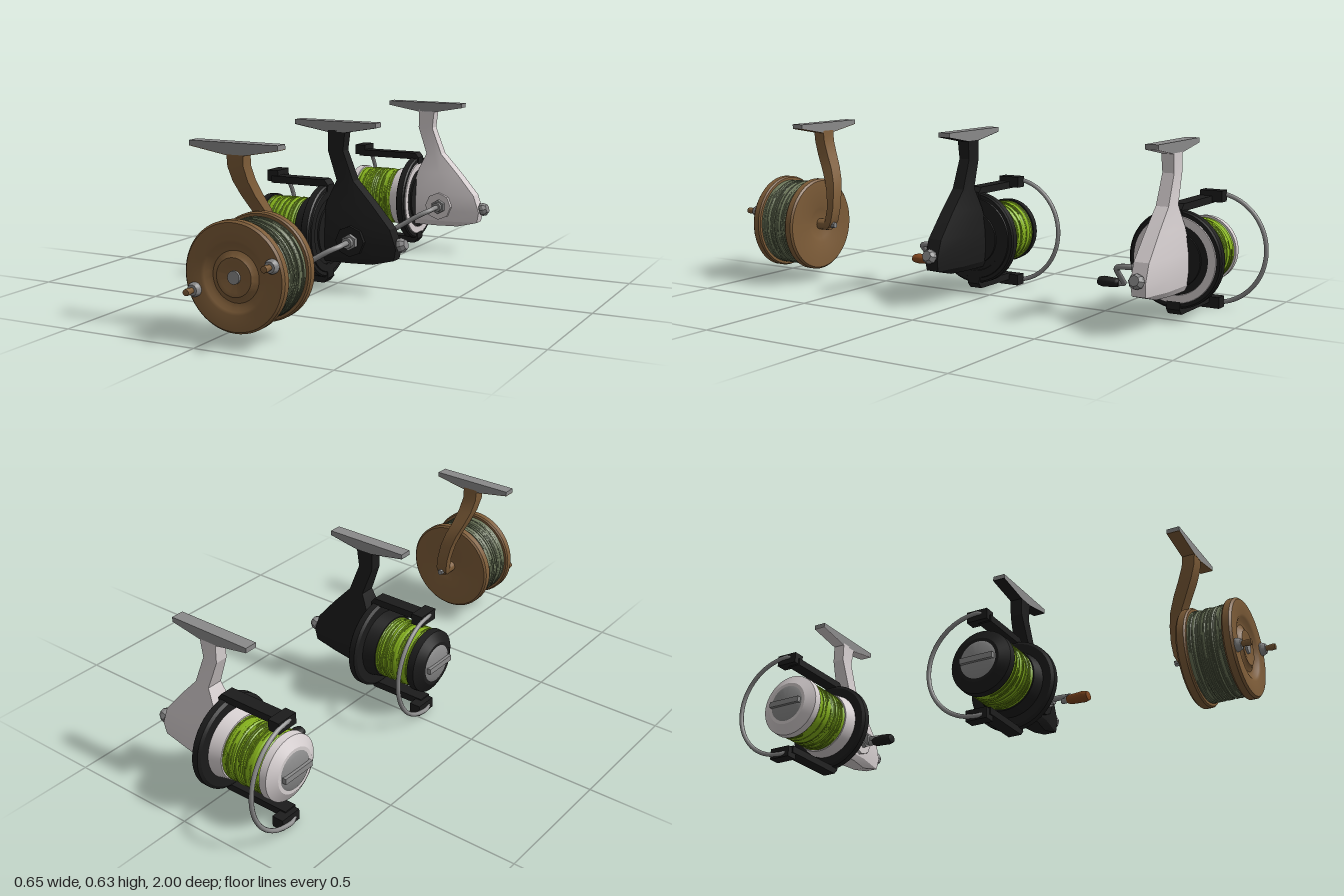
import * as THREE from 'three';
import { toCreasedNormals } from 'three/addons/utils/BufferGeometryUtils.js';

const mat = (color) => new THREE.MeshStandardMaterial({ color, side: THREE.DoubleSide });
const M = {
  metal: mat(0x8a8a8a), black: mat(0x1c1c1c), white: mat(0xd6cfd0), wood: mat(0x7d5c38),
  grip: mat(0x82481f), green: mat(0x86b31c), olive: mat(0x6c7659),
};
const V = (x, y, z) => new THREE.Vector3(x, y, z);
const AXIS_Y = 0.22; // height of the spinning reel axis

function add(parent, name, geo, material, pos = [0, 0, 0]) {
  const mesh = new THREE.Mesh(geo, material);
  mesh.name = name;
  mesh.position.set(...pos);
  parent.add(mesh);
  return mesh;
}

// turned part from [radius, distance along axis] pairs, axis 'x' or 'z'
function turned(profile, axis, sides = 48) {
  const g = new THREE.LatheGeometry(profile.map((p) => new THREE.Vector2(p[0], p[1])), sides);
  if (axis === 'x') g.rotateZ(-Math.PI / 2); else g.rotateX(Math.PI / 2);
  return toCreasedNormals(g, 0.5);
}
const disc = (r, a, b, axis, sides) => turned([[0, a], [r, a], [r, b], [0, b]], axis, sides);
const box = (w, h, d) => new THREE.BoxGeometry(w, h, d);

// side profile extruded symmetrically in z
function slab(points, depth) {
  const shape = new THREE.Shape(points.map((p) => new THREE.Vector2(p[0], p[1])));
  return new THREE.ExtrudeGeometry(shape, { depth, bevelEnabled: false }).translate(0, 0, -depth / 2);
}
const tube = (pts, r, n = 40) => new THREE.TubeGeometry(new THREE.CatmullRomCurve3(pts), n, r, 10);

// skin over rings listed from top to bottom, each counterclockwise from above
function loft(rings, crease) {
  const n = rings[0].length, pos = rings.flat(2), idx = [], last = (rings.length - 1) * n;
  for (let i = 0; i < rings.length - 1; i++) {
    for (let j = 0; j < n; j++) {
      const a = i * n + j, b = i * n + (j + 1) % n;
      idx.push(a + n, b + n, b, a + n, b, a);
    }
  }
  for (let j = 1; j < n - 1; j++) idx.push(0, j, j + 1, last, last + j + 1, last + j);
  const g = new THREE.BufferGeometry();
  g.setAttribute('position', new THREE.Float32BufferAttribute(pos, 3));
  g.setIndex(idx);
  return toCreasedNormals(g, crease);
}

function seeded(seed) {
  return () => (seed = (seed * 16807) % 2147483647) / 2147483647;
}

// wound line: wavy turned core plus loose strands
function woundLine(parent, r, a, b, axis, material, seed) {
  const rnd = seeded(seed), group = new THREE.Group(), profile = [[r - 0.03, a]];
  group.name = 'woundLine';
  for (let i = 0; i <= 40; i++) profile.push([r - 0.004 * rnd(), a + (b - a) * i / 40]);
  profile.push([r - 0.03, b]);
  add(group, 'lineCore', turned(profile, axis), material);
  for (let i = 0; i < 45; i++) {
    const g = new THREE.TorusGeometry(r - 0.001, 0.0022, 5, 24, 0.5 + rnd() * 1.8);
    g.rotateZ(rnd() * Math.PI * 2).translate(0, 0, a + 0.004 + (b - a - 0.008) * rnd());
    if (axis === 'x') g.rotateY(Math.PI / 2);
    add(group, 'lineStrand', g, material);
  }
  parent.add(group);
  return group;
}

// rod foot: tapered plate with a coloured underside
function foot(parent, underside) {
  const low = [[-0.133, 0.622], [0.005, 0.599], [0.075, 0.599], [0.2, 0.622]];
  add(parent, 'rodFoot', slab([...low, [0.2, 0.638], [-0.133, 0.638]], 0.048), M.metal);
  const strip = [...low.map((p) => [p[0], p[1] - 0.002]), ...low.slice().reverse()];
  add(parent, 'footUnderside', slab(strip, 0.048), underside);
}

function spinningReel(name, z0, o) {
  const reel = new THREE.Group();
  reel.name = name;
  reel.position.z = z0;
  foot(reel, o.body);

  // stem and gear housing: y, front x, rear x, front half width, rear half width
  const rows = [
    [0.605, 0.005, 0.076, 0.024, 0.024], [0.53, 0.005, 0.067, 0.024, 0.022], [0.42, 0.045, 0.11, 0.03, 0.024],
    [0.34, 0.01, 0.185, 0.042, 0.026], [0.25, -0.01, 0.262, 0.055, 0.028],
    [0.18, -0.01, 0.287, 0.057, 0.028], [0.135, -0.01, 0.278, 0.052, 0.025], [0.112, -0.01, 0.19, 0.04, 0.022],
  ];
  add(reel, 'housing', loft(rows.map(([y, x0, x1, f, r]) => {
    const xm = x0 + (x1 - x0) * 0.55, m = Math.max(f * 0.94, r);
    return [[x1, y, r], [x1, y, -r], [xm, y, -m], [x0, y, -f], [x0, y, f], [xm, y, m]];
  }), 0.3), o.body);

  // rear knob
  const knob = new THREE.Group();
  knob.name = 'rearKnob';
  knob.position.set(0.275, 0.185, 0);
  knob.rotation.z = 0.28;
  add(knob, 'knobNeck', disc(0.017, -0.01, 0.02, 'x', 16), M.metal);
  add(knob, 'knobHead', turned([[0, 0.014], [0.027, 0.014], [0.027, 0.03], [0.019, 0.043], [0, 0.043]], 'x', 8), M.metal);
  reel.add(knob);

  // rotor with two mirrored arms and the bail
  const rotor = new THREE.Group();
  rotor.name = 'rotor';
  rotor.position.y = AXIS_Y;
  add(rotor, 'rotorDisc', turned([[0, -0.035], [0.165, -0.035], [0.176, -0.028], [0.176, -0.004], [0.17, 0.001], [0, 0.001]], 'x'), M.black);
  add(rotor, 'rotorRing', turned([[0.125, 0], [0.157, 0], [0.155, 0.005], [0.127, 0.005], [0.125, 0]], 'x'), o.trim);
  add(rotor, 'rotorHub', disc(0.1, 0, 0.008, 'x'), M.black);
  const xb = o.bailX, armEnd = xb + 0.02;
  for (const s of [1, -1]) {
    const arm = new THREE.Group();
    arm.name = s > 0 ? 'upperArm' : 'lowerArm';
    add(arm, 'armBar', slab([[armEnd, 0.17], [-0.028, 0.17], [-0.035, 0.12], [0.004, 0.12], [0.006, 0.178],
      [-0.01, 0.197], [armEnd, 0.197]], 0.052), M.black);
    add(arm, 'bailMount', box(0.046, 0.042, 0.085), M.black, [armEnd + 0.002, 0.196, -0.022]);
    if (s < 0) arm.rotation.x = Math.PI;
    if (s < 0) arm.children[1].position.z *= -1;
    rotor.add(arm);
  }
  const bail = [V(xb + 0.01, 0.2, 0)];
  for (let i = 0; i <= 12; i++) {
    const t = Math.PI * (0.5 - i / 12);
    bail.push(V(xb - 0.008 * Math.cos(t) - 0.004 * (i / 12), 0.204 * Math.sin(t), -0.02 - 0.198 * Math.cos(t)));
  }
  bail.push(V(xb + 0.005, -0.2, 0));
  add(rotor, 'bailWire', tube(bail, 0.0085, 60), M.metal);
  reel.add(rotor);

  // spool, line and drag cap
  const spool = new THREE.Group(), f = o.lipX;
  spool.name = 'spool';
  spool.position.y = AXIS_Y;
  add(spool, 'spoolSkirt', turned([[0, -0.085], [0.122, -0.085], [0.132, -0.034], [0, -0.034]], 'x'), o.trim);
  woundLine(spool, 0.118, f + 0.02, -0.083, 'x', M.green, o.seed);
  add(spool, 'spoolLip', turned([[0, f - 0.028], [0.085, f - 0.028], [0.122, f - 0.006], [0.124, f + 0.022], [0, f + 0.022]], 'x'), o.trim);
  const d = f - 0.028;
  add(spool, 'dragCap', turned([[0, d - 0.008], [0.06, d - 0.007], [0.076, d + 0.002], [0.076, d + 0.01]], 'x'), M.metal);
  add(spool, 'dragGrip', box(0.016, 0.022, 0.135), M.metal, [d - 0.011, 0, 0]);
  reel.add(spool);

  // crank handle
  const crank = new THREE.Group();
  crank.name = 'crank';
  add(crank, 'gearCover', disc(0.058, 0.03, 0.064, 'z', 8), o.body, [0.115, 0.2, 0]);
  add(crank, 'crankNut', disc(0.03, 0.06, 0.082, 'z', 6), M.metal, [0.12, 0.2, 0]);
  add(crank, 'crankCollar', disc(0.02, 0.08, 0.098, 'z', 16), M.metal, [0.12, 0.2, 0]);
  add(crank, 'crankArm', tube([V(0.12, 0.2, 0.08), V(0.12, 0.2, 0.12), V(0.116, 0.196, 0.155), V(0.09, 0.183, 0.18),
    V(0, 0.128, 0.205), V(-0.04, 0.105, 0.217), V(-0.053, 0.1, 0.235), V(-0.053, 0.1, 0.26)], 0.0105), M.metal);
  const grip = turned([[0, 0.24], [0.016, 0.24], [0.022, 0.25], [0.026, 0.305], [0.021, 0.322], [0, 0.325]], 'z', 20);
  add(crank, 'crankGrip', grip.scale(1, 0.75, 1), o.grip, [-0.053, 0.1, 0]);
  reel.add(crank);
  return reel;
}

function woodenReel() {
  const reel = new THREE.Group();
  reel.name = 'woodenReel';
  const c = [0.115, 0.232, 0];
  const head = new THREE.Group();
  head.name = 'drum';
  head.position.set(...c);
  // dished front flange, plain back flange, line
  add(head, 'frontFlange', turned([[0, 0.905], [0.178, 0.905], [0.183, 0.911], [0.183, 0.934], [0.176, 0.942], [0.122, 0.942],
    [0.112, 0.938], [0.1, 0.929], [0.085, 0.926], [0.072, 0.932], [0.064, 0.939], [0.05, 0.938], [0.035, 0.934], [0, 0.934]], 'z', 64), M.wood);
  add(head, 'backFlange', turned([[0, 0.745], [0.06, 0.742], [0.075, 0.736], [0.176, 0.736], [0.183, 0.743],
    [0.183, 0.768], [0.178, 0.774], [0, 0.774]], 'z', 64), M.wood);
  woundLine(head, 0.168, 0.774, 0.905, 'z', M.olive, 77);
  add(head, 'axlePin', disc(0.022, 0.92, 0.942, 'z', 24), M.metal);
  // two pegs on opposite sides
  for (const s of [1, -1]) {
    const peg = new THREE.Group();
    peg.name = 'handlePeg';
    peg.position.set(0.143 * s, 0.052 * s, 0);
    add(peg, 'pegWasher', turned([[0, 0.94], [0.024, 0.94], [0.024, 0.95], [0.018, 0.962], [0, 0.962]], 'z', 24), M.metal);
    add(peg, 'pegGrip', turned([[0, 0.96], [0.009, 0.96], [0.012, 0.985], [0.011, 0.997], [0, 1]], 'z', 20), M.wood);
    head.add(peg);
  }
  reel.add(head);

  // curved mounting arm: x, y, z, half width, half depth
  const rows = [
    [0.04, 0.605, 0.78, 0.031, 0.024], [0.04, 0.56, 0.776, 0.03, 0.024], [0.047, 0.51, 0.757, 0.029, 0.025],
    [0.06, 0.46, 0.73, 0.027, 0.025], [0.078, 0.41, 0.703, 0.026, 0.022], [0.093, 0.36, 0.687, 0.025, 0.018],
    [0.105, 0.3, 0.68, 0.024, 0.015], [0.113, 0.25, 0.685, 0.024, 0.015], [0.115, 0.228, 0.695, 0.022, 0.015], [0.115, 0.214, 0.71, 0.015, 0.012],
  ];
  add(reel, 'mountArm', loft(rows.map(([x, y, z, w, d]) => [
    [x + w, y, z + d], [x + w, y, z - d], [x - w, y, z - d], [x - w, y, z + d]]), 0.6), M.wood);
  add(reel, 'armBoss', disc(0.022, 0.69, 0.745, 'z', 24), M.wood, c);
  add(reel, 'armNut', disc(0.012, 0.664, 0.7, 'z', 6), M.metal, c);

  const mount = new THREE.Group();
  mount.name = 'foot';
  mount.position.z = 0.78;
  foot(mount, M.wood);
  reel.add(mount);
  return reel;
}

export function createModel() {
  const model = new THREE.Group();
  model.name = 'fishingReels';
  model.add(
    woodenReel(),
    spinningReel('blackSpinningReel', 0.07, { body: M.black, trim: M.black, grip: M.grip, bailX: -0.257, lipX: -0.258, seed: 11 }),
    spinningReel('whiteSpinningReel', -0.77, { body: M.white, trim: M.white, grip: M.black, bailX: -0.298, lipX: -0.277, seed: 29 }),
  );
  return model;
}
